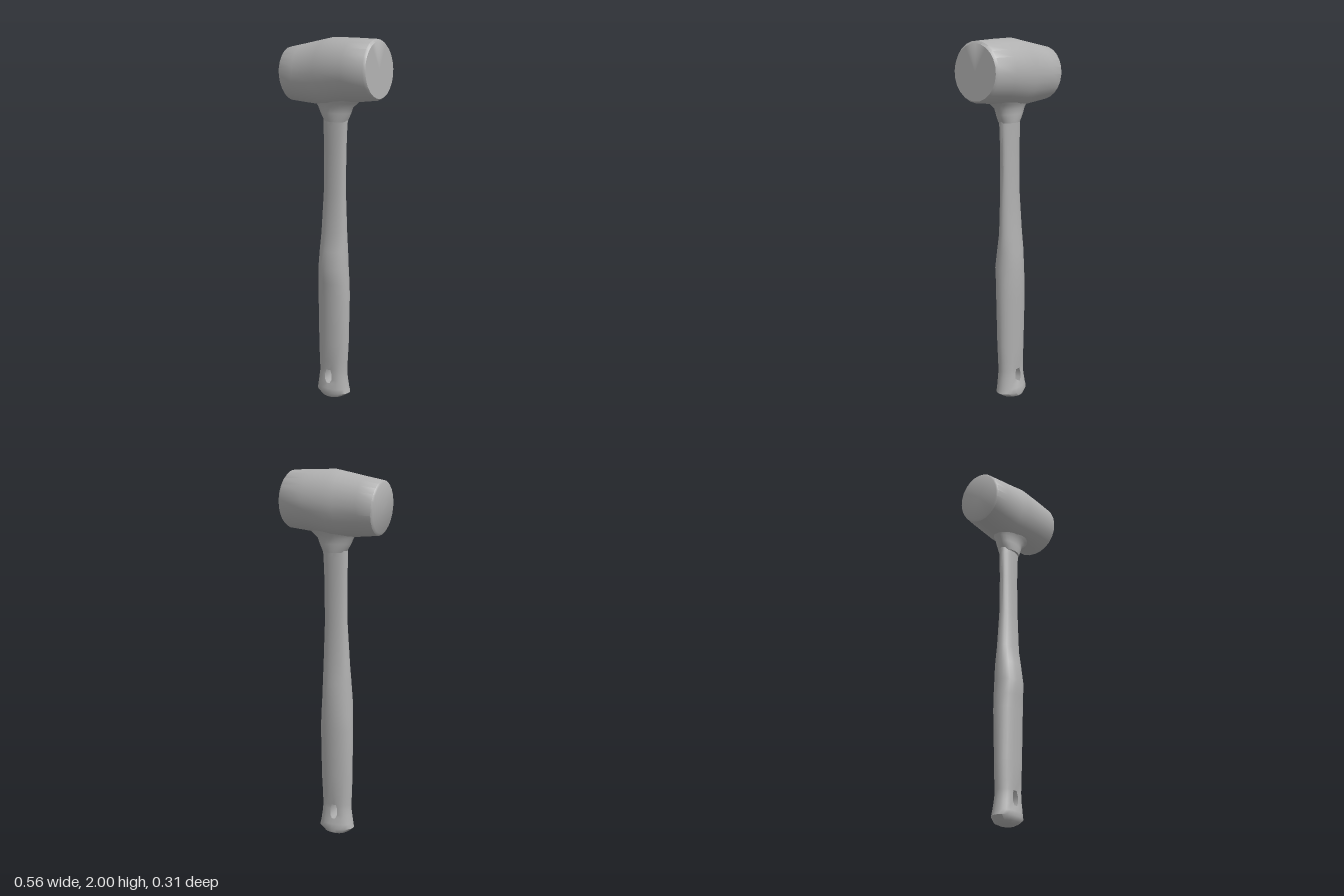
import * as THREE from 'three';
import { toCreasedNormals } from 'three/addons/utils/BufferGeometryUtils.js';

const N = 24; // points around every cross-section

// Skins a list of rings, with both ends capped; skip(row, k) leaves openings, extra adds triangles.
function loft(rings, crease, skip = () => false, extra = []) {
  const pts = [...extra];
  const centre = (ring) => ring.reduce((s, p) => s.add(p), new THREE.Vector3()).divideScalar(N);
  for (let i = 0; i < rings.length - 1; i++) {
    for (let k = 0; k < N; k++) {
      if (skip(i, k)) continue;
      const n = (k + 1) % N, a = rings[i], b = rings[i + 1];
      pts.push(a[k], b[k], a[n], a[n], b[k], b[n]);
    }
  }
  const first = rings[0], last = rings[rings.length - 1];
  const c0 = centre(first), c1 = centre(last);
  for (let k = 0; k < N; k++) {
    const n = (k + 1) % N;
    pts.push(c0, first[k], first[n], c1, last[n], last[k]);
  }
  return toCreasedNormals(new THREE.BufferGeometry().setFromPoints(pts), crease);
}

// Elliptical ring lying flat, from its extents in x and z.
function flatRing([y, x0, x1, z0, z1]) {
  return Array.from({ length: N }, (_, k) => {
    const t = (k / N) * Math.PI * 2;
    return new THREE.Vector3(
      (x0 + x1) / 2 + ((x1 - x0) / 2) * Math.cos(t), y,
      (z0 + z1) / 2 + ((z1 - z0) / 2) * Math.sin(t));
  });
}

// Upright ring for the head, from its top and bottom points and half-depth.
function uprightRing([tx, ty, bx, by, rz]) {
  return Array.from({ length: N }, (_, k) => {
    const t = (k / N) * Math.PI * 2, c = Math.cos(t);
    return new THREE.Vector3(
      (tx + bx) / 2 + ((tx - bx) / 2) * c,
      (ty + by) / 2 + ((ty - by) / 2) * c, -rz * Math.sin(t));
  });
}

function handleGeometry() {
  // y, x from, x to, z from, z to
  const rings = [
    [0.0, -0.055, 0.04, -0.04, 0.04],
    [0.012, -0.075, 0.065, -0.065, 0.058],
    [0.035, -0.104, 0.099, -0.069, 0.066],
    [0.06, -0.099, 0.093, -0.065, 0.065],
    [0.09, -0.094, 0.089, -0.061, 0.063],
    [0.11, -0.091, 0.086, -0.058, 0.061],
    [0.145, -0.086, 0.083, -0.055, 0.059],
    [0.168, -0.086, 0.083, -0.054, 0.058],
    [0.22, -0.089, 0.085, -0.054, 0.058],
    [0.32, -0.092, 0.091, -0.056, 0.06],
    [0.6, -0.094, 0.095, -0.065, 0.068],
    [0.68, -0.091, 0.092, -0.066, 0.072],
    [0.76, -0.087, 0.088, -0.065, 0.08],
    [0.86, -0.083, 0.083, -0.06, 0.066],
    [0.96, -0.077, 0.079, -0.047, 0.048],
    [1.18, -0.062, 0.072, -0.037, 0.04],
    [1.4, -0.06, 0.073, -0.035, 0.036],
    [1.54, -0.064, 0.079, -0.037, 0.038],
    [1.575, -0.064, 0.082, -0.038, 0.038],
  ].map(flatRing);

  // Shape the rim of the hanging hole on front and back
  const r0 = 4, r1 = 7, holeX = -0.006, half = [0.01, 0.021, 0.021, 0.013];
  for (let r = r0; r <= r1; r++) {
    for (let d = -1; d <= 1; d++) {
      for (const k of [6 + d, 18 - d]) {
        rings[r][k].x = holeX - d * half[r - r0];
        rings[r][k].z *= 0.9;
      }
    }
  }
  const skip = (i, k) => i >= r0 && i < r1 && [5, 6, 17, 18].includes(k);

  // Tunnel walls joining the two openings
  const loop = [];
  for (let r = r0; r <= r1; r++) loop.push([r, 5]);
  loop.push([r1, 6]);
  for (let r = r1; r >= r0; r--) loop.push([r, 7]);
  loop.push([r0, 6]);
  const walls = [];
  loop.forEach(([r, k], i) => {
    const [s, m] = loop[(i + 1) % loop.length];
    const p = rings[r][k], q = rings[s][m], bp = rings[r][N - k], bq = rings[s][N - m];
    walls.push(p, q, bp, q, bq, bp);
  });
  return loft(rings, 0.9, skip, walls);
}

export function createModel() {
  const group = new THREE.Group();
  group.name = 'mallet';
  const grey = new THREE.MeshStandardMaterial({ color: 0xb0b0b0 });
  grey.name = 'grey';
  const add = (name, geometry) => {
    const mesh = new THREE.Mesh(geometry, grey);
    mesh.name = name;
    group.add(mesh);
  };

  add('handle', handleGeometry());

  // Flared collar running up into the head
  add('collar', loft([
    [1.565, -0.052, 0.078, -0.05, 0.05],
    [1.585, -0.066, 0.088, -0.053, 0.053],
    [1.61, -0.082, 0.1, -0.054, 0.054],
    [1.64, -0.096, 0.112, -0.056, 0.056],
    [1.665, -0.115, 0.14, -0.068, 0.068],
    [1.7, -0.15, 0.18, -0.09, 0.09],
  ].map(flatRing), 0.9));

  // Head with slanted ends: narrow on one side, a soft step at the middle
  add('head', loft([
    [-0.281, 1.932, -0.259, 1.671, 0.121],
    [-0.273, 1.943, -0.249, 1.659, 0.131],
    [-0.18, 1.962, -0.18, 1.654, 0.139],
    [-0.04, 1.992, -0.05, 1.645, 0.147],
    [0.0, 2.0, 0.0, 1.647, 0.155],
    [0.13, 2.0, 0.13, 1.67, 0.153],
    [0.255, 1.997, 0.266, 1.687, 0.15],
    [0.267, 1.985, 0.28, 1.697, 0.14],
  ].map(uprightRing), 0.75));

  return group;
}
